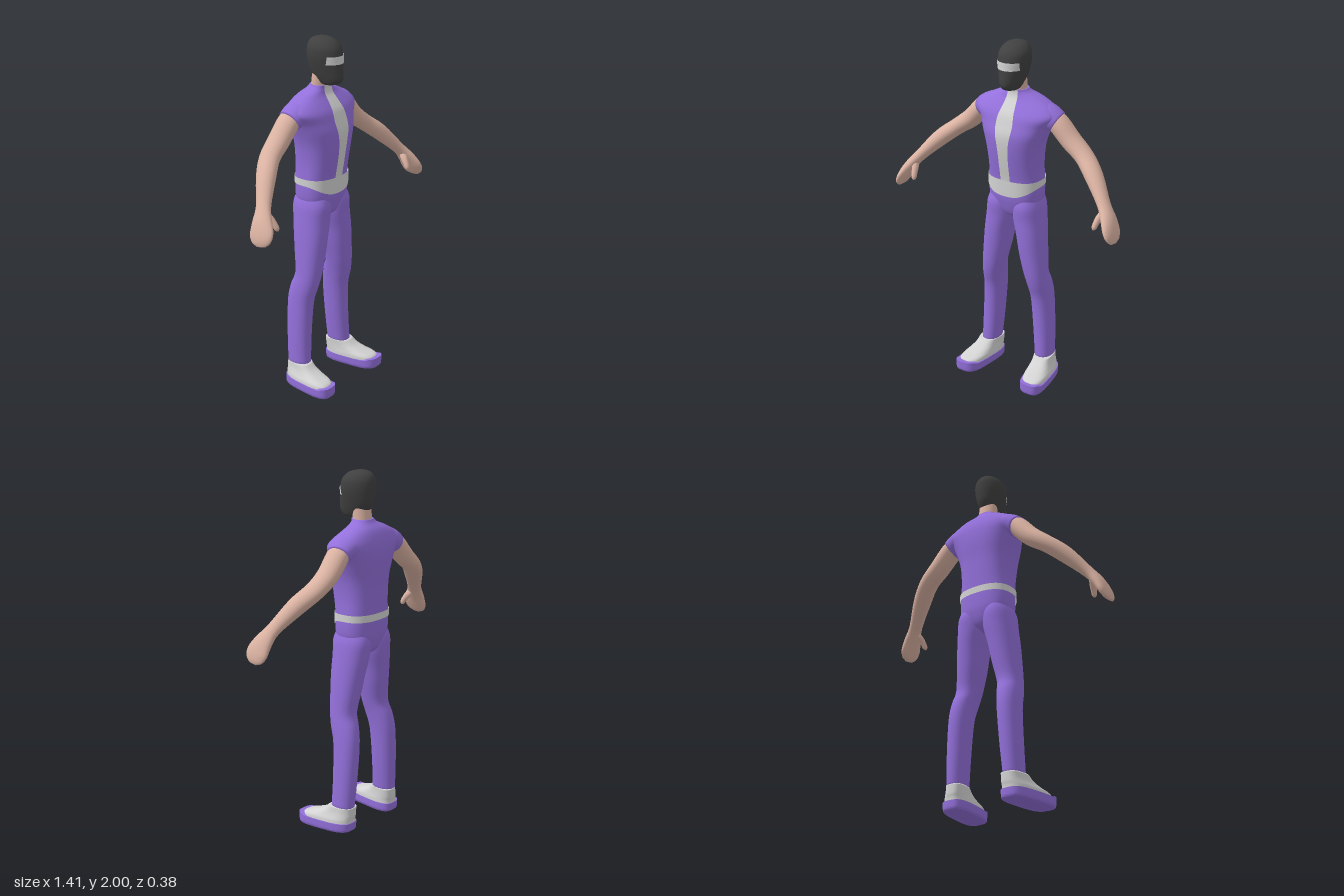
import * as THREE from 'three';
import { toCreasedNormals } from 'three/addons/utils/BufferGeometryUtils.js';

const mat = (name, color) => {
  const m = new THREE.MeshStandardMaterial({ color });
  m.name = name;
  return m;
};

// Smooth interpolation of a list of rings [x, y, z, halfWidth, halfDepth]
function ringAt(rings, t) {
  const n = rings.length;
  const i = Math.min(Math.floor(t), n - 2), f = t - i;
  const at = k => rings[Math.max(0, Math.min(n - 1, k))];
  return rings[0].map((_, k) => {
    const [p0, p1, p2, p3] = [at(i - 1)[k], at(i)[k], at(i + 1)[k], at(i + 2)[k]];
    return p1 + 0.5 * f * (p2 - p0 + f * (2 * p0 - 5 * p1 + 4 * p2 - p3 + f * (3 * (p1 - p2) + p3 - p0)));
  });
}

const spow = (v, e) => Math.sign(v) * Math.abs(v) ** e;

function makeGeometry(pos, idx) {
  const g = new THREE.BufferGeometry();
  g.setAttribute('position', new THREE.Float32BufferAttribute(pos, 3));
  g.setIndex(idx);
  g.computeVertexNormals();
  return g;
}

// Closed body through rings; level rings stay horizontal, others follow the path
function loft(rings, { e = 1, level = true, side = 1, warp = null, segs = 48, sub = 4 } = {}) {
  const rows = (rings.length - 1) * sub, pos = [], idx = [];
  const centre = t => new THREE.Vector3(...ringAt(rings, t).slice(0, 3));
  const put = v => {
    if (warp) warp(v);
    pos.push(v.x * side, v.y, v.z);
  };
  const tri = (a, b, c) => (side > 0 ? idx.push(a, b, c) : idx.push(a, c, b));
  for (let r = 0; r <= rows; r++) {
    const t = r / sub, [x, y, z, a, b] = ringAt(rings, t);
    const T = level ? new THREE.Vector3(0, 1, 0)
      : centre(Math.min(t + 0.1, rings.length - 1)).sub(centre(Math.max(t - 0.1, 0))).normalize();
    const B = new THREE.Vector3(0, 0, 1).addScaledVector(T, -T.z).normalize();
    const N = T.clone().cross(B);
    for (let s = 0; s < segs; s++) {
      const q = s / segs * Math.PI * 2;
      put(new THREE.Vector3(x, y, z)
        .addScaledVector(N, a * spow(Math.cos(q), e))
        .addScaledVector(B, b * spow(Math.sin(q), e)));
    }
  }
  for (let r = 0; r < rows; r++) for (let s = 0; s < segs; s++) {
    const p = r * segs + s, q = r * segs + (s + 1) % segs;
    tri(p, p + segs, q);
    tri(p + segs, q + segs, q);
  }
  // end caps
  put(centre(0));
  put(centre(rings.length - 1));
  const c0 = (rows + 1) * segs, last = rows * segs;
  for (let s = 0; s < segs; s++) {
    const n = (s + 1) % segs;
    tri(c0, s, n);
    tri(c0 + 1, last + n, last + s);
  }
  return makeGeometry(pos, idx);
}

// Thin painted panel lying on the front of a level body
function frontPanel(rings, e, t0, t1, rows, halfWidth, lift) {
  const cols = 16, pos = [], idx = [];
  for (let r = 0; r <= rows; r++) {
    const [, y, z, a, b] = ringAt(rings, t0 + (t1 - t0) * r / rows);
    for (let c = 0; c <= cols; c++) {
      const x = halfWidth(y) * (c / cols * 2 - 1);
      const k = Math.max(0, 1 - Math.abs(x / (a + lift)) ** (2 / e));
      pos.push(x, y + lift * 0.6, z + (b + lift) * k ** (e / 2));
      if (r < rows && c < cols) {
        const p = r * (cols + 1) + c, q = p + cols + 1;
        idx.push(p, p + 1, q, p + 1, q + 1, q);
      }
    }
  }
  return makeGeometry(pos, idx);
}

// Belt band, dipping towards the front
function beltBand(e) {
  const segs = 64, rows = 3, pos = [], idx = [];
  for (let r = 0; r <= rows; r++) for (let s = 0; s <= segs; s++) {
    const q = s / segs * Math.PI * 2;
    const low = 1.197 - 0.055 * Math.max(0, Math.sin(q)) ** 2;
    pos.push(0.161 * spow(Math.cos(q), e), low + (1.236 - low) * r / rows,
      -0.0575 + 0.1225 * spow(Math.sin(q), e));
    if (r < rows && s < segs) {
      const p = r * (segs + 1) + s, u = p + segs + 1;
      idx.push(p, u, p + 1, u, u + 1, p + 1);
    }
  }
  return makeGeometry(pos, idx);
}

const TORSO = [
  [0, 0.985, -0.06, 0.03, 0.03], [0, 1.02, -0.06, 0.09, 0.085], [0, 1.09, -0.06, 0.145, 0.11],
  [0, 1.15, -0.058, 0.157, 0.117], [0, 1.23, -0.058, 0.155, 0.117], [0, 1.32, -0.052, 0.152, 0.126],
  [0, 1.42, -0.047, 0.162, 0.135], [0, 1.5, -0.05, 0.185, 0.14], [0, 1.56, -0.06, 0.21, 0.132],
  [0, 1.61, -0.067, 0.245, 0.12], [0, 1.65, -0.075, 0.22, 0.1], [0, 1.69, -0.08, 0.15, 0.075],
  [0, 1.72, -0.07, 0.08, 0.056], [0, 1.74, -0.063, 0.059, 0.051],
];
const NECK = [[0, 1.68, -0.065, 0.054, 0.05], [0, 1.74, -0.062, 0.055, 0.049], [0, 1.82, -0.05, 0.055, 0.05]];
const HEAD = [
  [0, 1.745, -0.005, 0.03, 0.035], [0, 1.755, 0, 0.045, 0.062], [0, 1.78, -0.008, 0.056, 0.089],
  [0, 1.82, -0.022, 0.068, 0.102], [0, 1.87, -0.03, 0.08, 0.103], [0, 1.91, -0.033, 0.085, 0.103],
  [0, 1.95, -0.038, 0.081, 0.095], [0, 1.98, -0.045, 0.061, 0.072], [0, 1.995, -0.05, 0.035, 0.04],
  [0, 2, -0.052, 0.004, 0.004],
];
const LEG = [
  [0.184, 0.12, -0.075, 0.051, 0.069], [0.173, 0.3, -0.083, 0.057, 0.072], [0.16, 0.5, -0.082, 0.06, 0.078],
  [0.15, 0.6, -0.062, 0.063, 0.083], [0.137, 0.68, -0.042, 0.067, 0.077], [0.118, 0.8, -0.045, 0.076, 0.09],
  [0.105, 0.9, -0.05, 0.08, 0.1], [0.088, 1, -0.057, 0.086, 0.108], [0.083, 1.08, -0.058, 0.08, 0.112],
  [0.08, 1.14, -0.058, 0.06, 0.09],
];
const SLEEVE = [
  [0.11, 1.615, -0.08, 0.072, 0.085], [0.18, 1.605, -0.083, 0.066, 0.083], [0.235, 1.576, -0.09, 0.059, 0.069],
];
const ARM = [
  [0.19, 1.6, -0.088, 0.05, 0.06], [0.24, 1.572, -0.09, 0.055, 0.065], [0.32, 1.488, -0.093, 0.053, 0.063],
  [0.41, 1.42, -0.08, 0.047, 0.059], [0.5, 1.345, -0.03, 0.046, 0.054], [0.598, 1.237, 0.035, 0.032, 0.042],
  [0.645, 1.175, 0.064, 0.032, 0.058], [0.674, 1.12, 0.084, 0.027, 0.072], [0.69, 1.08, 0.094, 0.018, 0.058],
  [0.698, 1.06, 0.098, 0.006, 0.025],
];
const THUMB = [
  [0.622, 1.215, 0.05, 0.018, 0.02], [0.602, 1.185, 0.078, 0.018, 0.021], [0.592, 1.15, 0.103, 0.016, 0.017],
  [0.588, 1.128, 0.114, 0.013, 0.014], [0.587, 1.117, 0.119, 0.004, 0.004],
];
const SHOE = [
  [0.202, 0.04, 0.012, 0.073, 0.155], [0.201, 0.068, 0.006, 0.07, 0.15], [0.198, 0.087, -0.025, 0.063, 0.122],
  [0.195, 0.11, -0.054, 0.057, 0.093], [0.193, 0.14, -0.073, 0.054, 0.073],
];
const SOLE = [
  [0.203, 0, 0.02, 0.068, 0.155], [0.203, 0.01, 0.02, 0.075, 0.165], [0.203, 0.052, 0.02, 0.076, 0.167],
];

export function createModel() {
  const purple = mat('purple cloth', 0x9370db);
  const grey = mat('light grey trim', 0xd3d3d3);
  const skin = mat('skin', 0xdab2a2);
  const black = mat('black mask', 0x404040);
  grey.side = THREE.DoubleSide;
  const root = new THREE.Group();
  root.name = 'figure';
  const add = (name, geometry, material) => {
    const m = new THREE.Mesh(geometry, material);
    m.name = name;
    root.add(m);
  };

  // Body and head
  add('torso', loft(TORSO, { e: 0.8, segs: 64 }), purple);
  add('chestStripe', frontPanel(TORSO, 0.8, 4, 13, 36,
    y => 0.03 + 0.022 * Math.exp(-(((y - 1.56) / 0.1) ** 2)), 0.004), grey);
  add('belt', beltBand(0.8), grey);
  add('neck', loft(NECK), skin);
  add('mask', loft(HEAD), black);
  add('eyeSlit', frontPanel(HEAD, 1, 3.85, 4.9, 6, () => 0.07, 0.003), grey);

  // Limbs, mirrored
  const toeOut = v => {
    v.x += 0.12 * v.z;
    if (v.y > 0.045) v.y += 0.012 * THREE.MathUtils.smoothstep(v.z, 0.13, 0.17);
  };
  for (const [label, side] of [['left', 1], ['right', -1]]) {
    add(label + 'Leg', loft(LEG, { side, e: 0.9 }), purple);
    add(label + 'Sleeve', loft(SLEEVE, { side, level: false }), purple);
    add(label + 'Arm', loft(ARM, { side, level: false }), skin);
    add(label + 'Thumb', loft(THUMB, { side, level: false, segs: 20 }), skin);
    add(label + 'Shoe', loft(SHOE, { side, e: 0.7, warp: v => { v.x += 0.12 * v.z; } }), grey);
    add(label + 'Sole', toCreasedNormals(loft(SOLE, { side, e: 0.6, warp: toeOut }), 0.7), purple);
  }
  return root;
}
